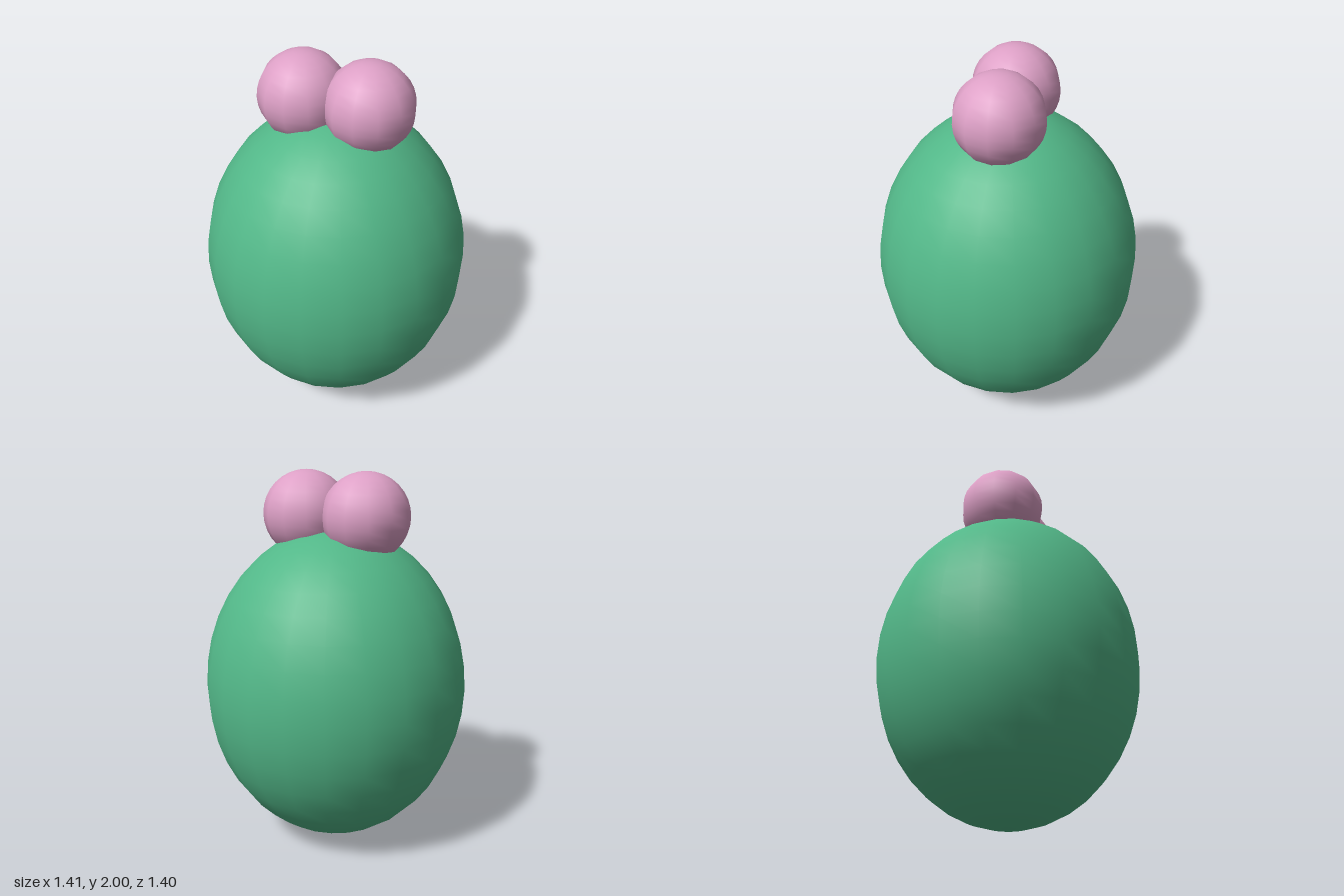
import * as THREE from 'three';

export function createModel() {
  const group = new THREE.Group();
  const green = new THREE.MeshStandardMaterial({ color: 0x52b788 });
  green.name = 'green';
  const pink = new THREE.MeshStandardMaterial({ color: 0xdda0c6 });
  pink.name = 'pink';

  // Egg-like body: a sphere stretched upwards
  const body = new THREE.Mesh(new THREE.SphereGeometry(0.705, 22, 20), green);
  body.name = 'body';
  body.scale.y = 0.855 / 0.705;
  body.position.y = 0.857;
  group.add(body);

  // Pair of balls sunk into the top and into each other
  const ballGeometry = new THREE.SphereGeometry(0.23, 12, 16);
  for (const side of [1, -1]) {
    const ball = new THREE.Mesh(ballGeometry, pink);
    ball.name = side > 0 ? 'leftBall' : 'rightBall';
    ball.position.set(side * 0.175, 1.77, 0);
    group.add(ball);
  }

  return group;
}
